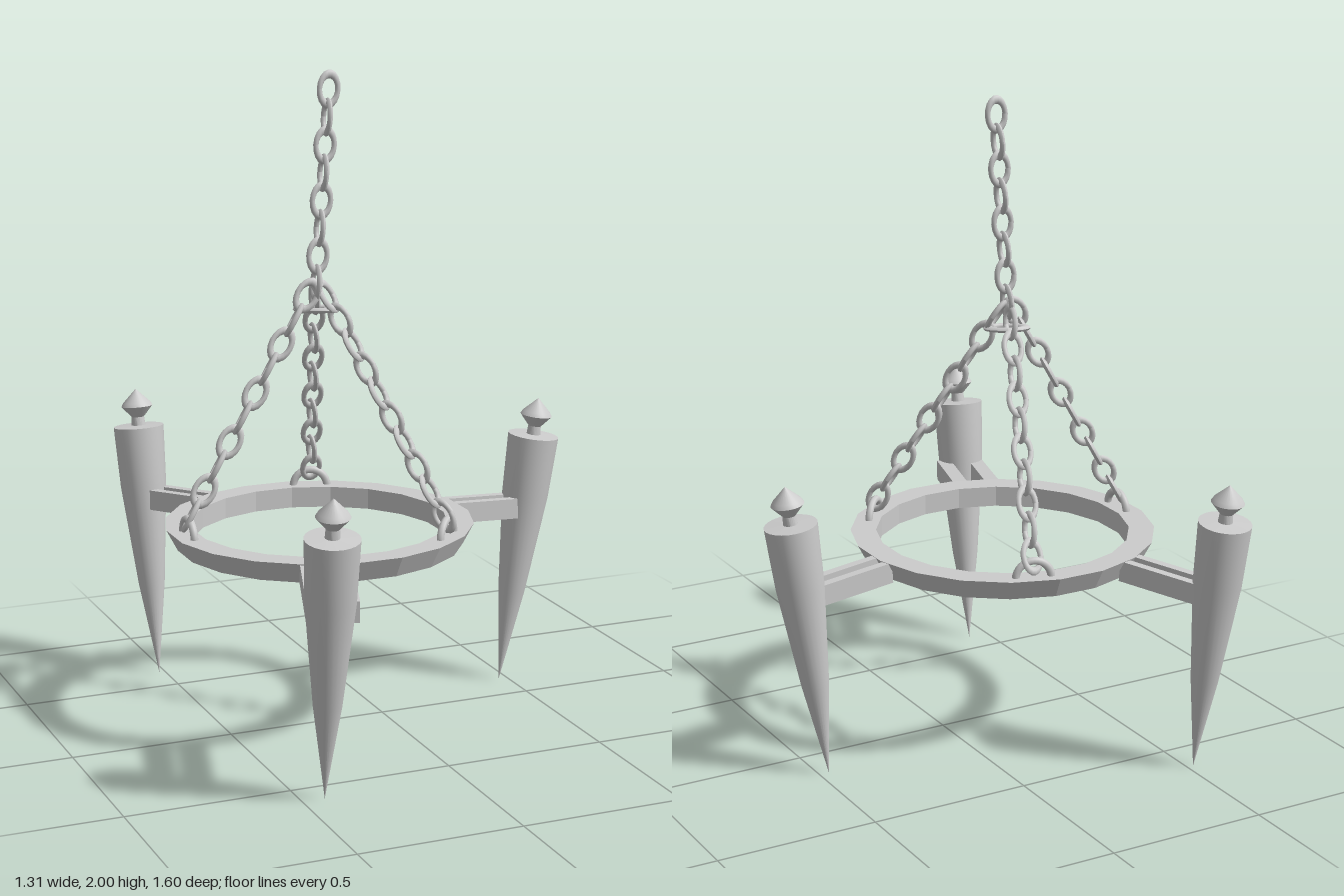
import * as THREE from 'three';
import { toCreasedNormals } from 'three/addons/utils/BufferGeometryUtils.js';

const V = (x, y, z) => new THREE.Vector3(x, y, z);
const UP = V(0, 1, 0);
const CENTRE = V(-0.195, 0, -0.03);

export function createModel() {
  const model = new THREE.Group();
  model.name = 'chandelier';
  const smooth = new THREE.MeshStandardMaterial({ color: 0xcccccc });
  const flat = new THREE.MeshStandardMaterial({ color: 0xcccccc, flatShading: true });

  const add = (parent, geometry, material, name) => {
    const mesh = new THREE.Mesh(geometry, material);
    mesh.name = name;
    parent.add(mesh);
    return mesh;
  };
  const lathe = (profile, sides) =>
    new THREE.LatheGeometry(profile.map(([r, y]) => new THREE.Vector2(r, y)), sides);

  // Hoop, its outer wall tapering inward below
  const hoop = add(model, lathe([[0.437, 0.575], [0.471, 0.64], [0.392, 0.64], [0.392, 0.575], [0.437, 0.575]], 20), flat, 'hoop');
  hoop.position.copy(CENTRE);
  hoop.rotation.y = Math.PI / 20;

  // Torches: pointed body, flat top and a double-cone finial, turned as one profile
  const torchGeometry = toCreasedNormals(lathe([
    [0, 0], [0.042, 0.3], [0.073, 0.62], [0.08, 0.815], [0.022, 0.818],
    [0.02, 0.845], [0.05, 0.88], [0.043, 0.892], [0, 0.935],
  ], 24), 0.45);
  const arms = [
    { name: 'left', tip: V(0.47, 0.005, -0.14), top: V(0.588, 0.93, -0.117),
      from: V(0.25, 0.607, -0.088), to: V(0.53, 0.587, -0.122), spread: 0.062, width: 0.027 },
    { name: 'back', tip: V(-0.52, 0.005, -0.63), top: V(-0.547, 0.938, -0.735),
      from: V(-0.395, 0.607, -0.43), to: V(-0.52, 0.587, -0.68), spread: 0.058, width: 0.027 },
    { name: 'front', tip: V(-0.432, 0.005, 0.595), top: V(-0.457, 0.93, 0.735),
      from: V(-0.34, 0.607, 0.38), to: V(-0.438, 0.585, 0.68), spread: 0.104, width: 0.046 },
  ];
  for (const { name, tip, top, from, to, spread, width } of arms) {
    const torch = add(model, torchGeometry, smooth, name + 'Torch');
    torch.position.copy(tip);
    torch.quaternion.setFromUnitVectors(UP, top.clone().sub(tip).normalize());

    // Pair of parallel bars reaching out from the hoop
    const bracket = new THREE.Group();
    bracket.name = name + 'Bracket';
    bracket.position.copy(from).lerp(to, 0.5);
    bracket.lookAt(to);
    for (const side of [-1, 1]) {
      const bar = add(bracket, new THREE.BoxGeometry(width, 0.064, from.distanceTo(to)), flat, 'bracketBar');
      bar.position.x = side * spread / 2;
    }
    model.add(bracket);
  }

  // Chains: oval links, each turned a quarter against the last
  const linkGeometry = new THREE.TorusGeometry(0.029, 0.0085, 8, 18);
  linkGeometry.scale(1, 1.55, 1);
  linkGeometry.computeVertexNormals();
  const chain = (name, start, end, count, twist) => {
    const group = new THREE.Group();
    group.name = name;
    const tilt = new THREE.Quaternion().setFromUnitVectors(UP, end.clone().sub(start).normalize());
    for (let i = 0; i < count; i++) {
      const link = add(group, linkGeometry, smooth, 'link');
      link.position.lerpVectors(start, end, i / (count - 1));
      const spin = new THREE.Quaternion().setFromAxisAngle(UP, twist + (i % 2) * Math.PI / 2);
      link.quaternion.copy(tilt).multiply(spin);
    }
    model.add(group);
  };
  chain('hangingChain', V(-0.145, 1.946, -0.062), V(-0.192, 1.37, -0.052), 8, 0.45);

  // Flat link where the three chains gather
  const hub = add(model, linkGeometry, smooth, 'gatheringLink');
  hub.position.set(-0.19, 1.29, -0.055);
  hub.rotation.set(Math.PI / 2, 0, -1.15);
  hub.scale.set(0.9, 1.25, 1);

  // Three spreading chains, each ending at a staple on the hoop
  const stapleGeometry = new THREE.TorusGeometry(0.054, 0.012, 8, 16, Math.PI);
  const spreads = [
    ['rightChain', V(-0.225, 1.335, -0.045), V(-0.605, 0.7, -0.03), V(-0.615, 0.635, -0.03), 0.4],
    ['backChain', V(-0.185, 1.315, -0.085), V(-0.065, 0.7, -0.425), V(-0.065, 0.635, -0.435), 0.9],
    ['frontChain', V(-0.16, 1.33, -0.04), V(0.085, 0.7, 0.265), V(0.095, 0.635, 0.272), 0.7],
  ];
  for (const [name, start, end, foot, twist] of spreads) {
    chain(name, start, end, Math.round(start.distanceTo(end) / 0.08) + 1, twist);
    const staple = add(model, stapleGeometry, smooth, 'staple');
    staple.position.copy(foot);
    const out = foot.clone().sub(CENTRE);
    staple.rotation.y = Math.atan2(out.x, out.z);
  }
  return model;
}
